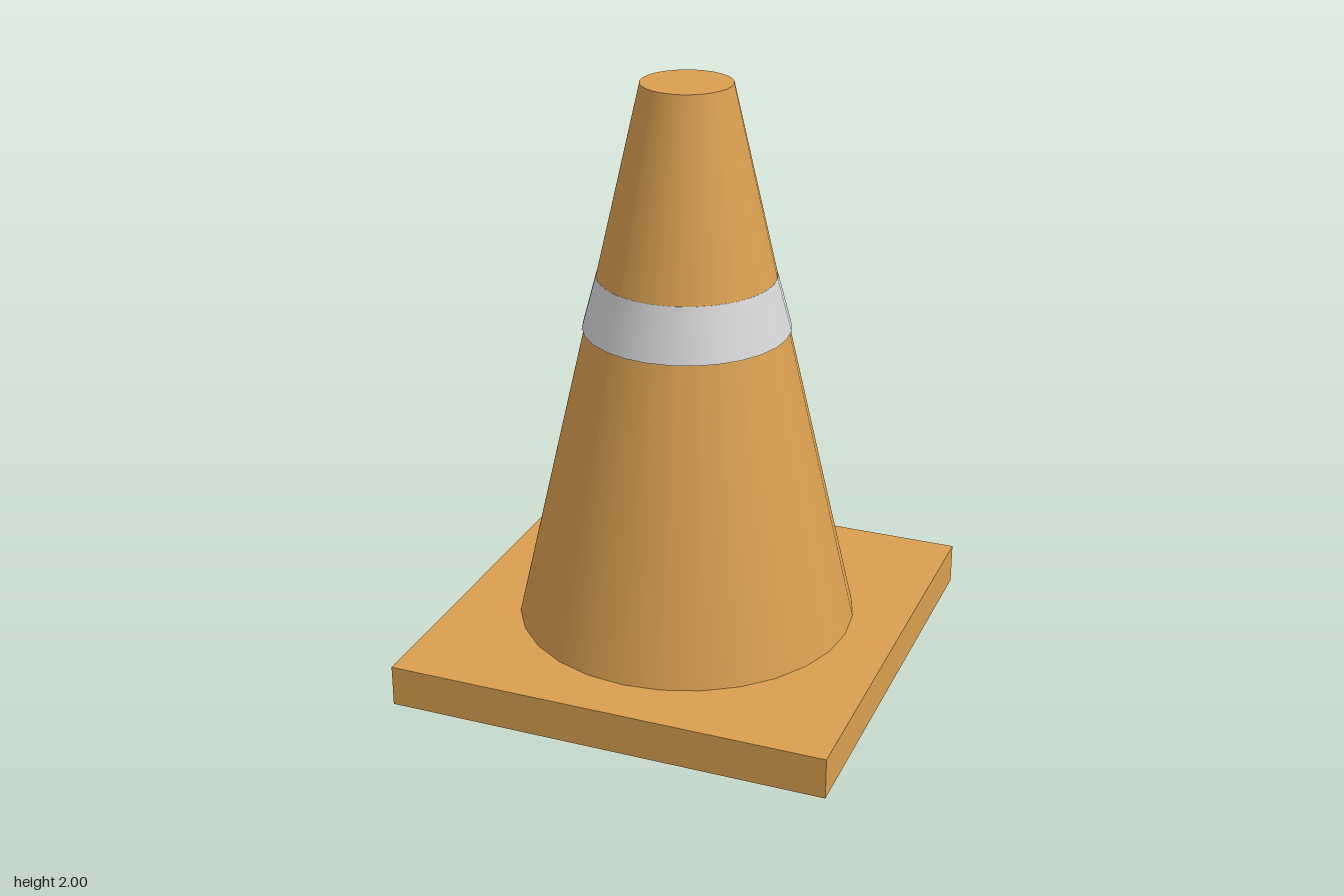
import * as THREE from 'three';

const SIDES = 28;

export function createModel() {
  const model = new THREE.Group();
  model.name = 'trafficCone';

  const orange = new THREE.MeshStandardMaterial({ color: 0xd99f50 });
  orange.name = 'orange plastic';
  const silver = new THREE.MeshStandardMaterial({ color: 0xd6d6d8 });
  silver.name = 'pale grey band';

  const add = (name, geometry, material, y) => {
    const mesh = new THREE.Mesh(geometry, material);
    mesh.name = name;
    mesh.position.y = y;
    model.add(mesh);
  };

  // Square foot
  add('base', new THREE.BoxGeometry(1.5, 0.14, 1.5), orange, 0.07);

  // Tapered body with a closed flat top
  add('coneBody', new THREE.CylinderGeometry(0.15, 0.575, 1.86, SIDES), orange, 1.07);

  // Reflective collar, flared slightly at its lower rim and meeting the body at the top
  add('reflectiveBand', new THREE.CylinderGeometry(0.297, 0.345, 0.18, SIDES), silver, 1.27);

  return model;
}
